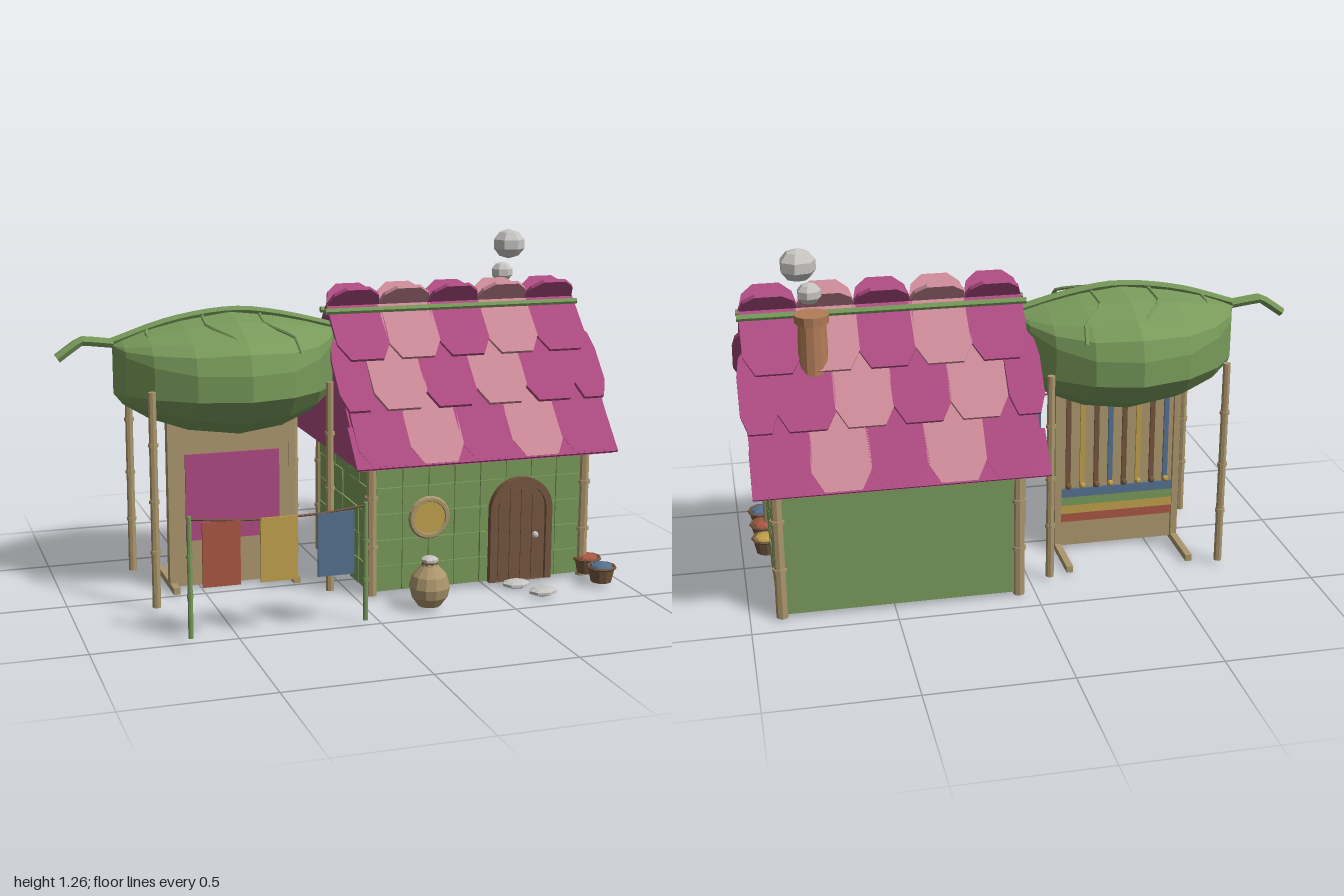
import * as THREE from 'three';

const mat = (name, color, side = THREE.FrontSide) => {
  const m = new THREE.MeshStandardMaterial({ color, side });
  m.name = name;
  return m;
};

export function createModel() {
  const root = new THREE.Group();
  root.name = 'cottageWithLeafCanopy';
  const green = mat('leafGreen', 0x789a5a), tan = mat('bambooTan', 0xab966c);
  const magenta = mat('petalMagenta', 0xac4a80), pink = mat('petalPink', 0xca8996);
  const brown = mat('darkWood', 0x75563f), red = mat('brickRed', 0xa85642);
  const yellow = mat('ochreYellow', 0xc0a04c), blue = mat('slateBlue', 0x557090);
  const grey = mat('stoneGrey', 0xc6c5c2), clay = mat('chimneyClay', 0xb17c58);

  let seed = 7;
  const rnd = () => (seed = (seed * 16807) % 2147483647) / 2147483647;

  // Helpers: flat-shaded mesh, box, upright cylinder, tube, lathe
  const add = (name, geo, m, x = 0, y = 0, z = 0, parent = root) => {
    const g = geo.index ? geo.toNonIndexed() : geo;
    g.computeVertexNormals();
    const mesh = new THREE.Mesh(g, m);
    mesh.name = name;
    mesh.position.set(x, y, z);
    parent.add(mesh);
    return mesh;
  };
  const box = (name, m, x0, x1, y0, y1, z0, z1) => add(name,
    new THREE.BoxGeometry(x1 - x0, y1 - y0, z1 - z0), m, (x0 + x1) / 2, (y0 + y1) / 2, (z0 + z1) / 2);
  const cyl = (name, m, rt, rb, x, y0, y1, z, n = 8) => add(name,
    new THREE.CylinderGeometry(rt, rb, y1 - y0, n), m, x, (y0 + y1) / 2, z);
  const tube = (name, m, pts, r, seg = 16, tension = 0.5) => add(name, new THREE.TubeGeometry(
    new THREE.CatmullRomCurve3(pts.map(p => new THREE.Vector3(...p)), false, 'catmullrom', tension), seg, r, 6), m);
  const lathe = (name, m, pts, x, y, z, n = 12) => add(name,
    new THREE.LatheGeometry(pts.map(p => new THREE.Vector2(...p)), n), m, x, y, z);
  const bamboo = (name, m, r, x, y0, y1, z, nodes) => {
    cyl(name, m, r * 0.92, r, x, y0, y1, z);
    for (const y of nodes) cyl(name + 'Node', m, r * 1.22, r * 1.22, x, y - 0.006, y + 0.006, z);
  };

  // House walls and corner posts
  const ZC = -0.097;
  box('houseWalls', green, 0.06, 0.89, 0.02, 0.5, -0.41, 0.21);
  for (const x of [0.06, 0.89]) for (const z of [0.213, -0.405])
    bamboo('cornerPost', tan, 0.021, x, 0.01, 0.5, z, [0.19, 0.37]);

  // Uneven wall tiles on the front and both gable sides
  const tileWall = (length, cols, place) => {
    const w = length / cols, h = 0.096;
    for (let r = 0; r < 5; r++) for (let c = 0; c < cols; c++) {
      const mesh = add('wallTile', new THREE.BoxGeometry(w - 0.003, h - 0.003, 0.012), green);
      place(mesh, (c + 0.5) * w - length / 2, 0.02 + (r + 0.5) * h, rnd() * 0.005);
      mesh.rotation.z = (rnd() - 0.5) * 0.03;
    }
  };
  tileWall(0.8, 8, (m, u, y, d) => m.position.set(0.475 + u, y, 0.21 + d));
  for (const s of [-1, 1]) tileWall(0.58, 6, (m, u, y, d) => {
    m.position.set(0.475 + s * (0.415 + d), y, ZC + u);
    m.rotation.y = s * Math.PI / 2;
  });

  // Gabled roof core
  const gable = new THREE.Shape([[-0.41, 0.495], [0.41, 0.495], [0, 0.955]].map(p => new THREE.Vector2(...p)));
  const core = add('roofCore', new THREE.ExtrudeGeometry(gable, { depth: 0.97, bevelEnabled: false }), magenta, -0.015, 0, ZC);
  core.rotation.y = Math.PI / 2;

  // Overlapping petal shingles; the top row crosses at the ridge
  const petal = (x, hw, m, s, [z0, y0, z1, y1]) => {
    const L = Math.hypot(z1 - z0, y1 - y0), t = 0.014;
    const half = [[0.62, 0], [1, 0.07], [1.02, L - 0.1], [0.85, L - 0.035], [0.45, L]];
    const pts = [...half, ...half.slice().reverse().map(([u, v]) => [-u, v])];
    const geo = new THREE.ExtrudeGeometry(new THREE.Shape(pts.map(([u, v]) => new THREE.Vector2(u * hw, v))),
      { depth: t, bevelEnabled: false });
    if (s < 0) geo.translate(0, 0, -t);
    add('roofPetal', geo, m, x, y0, ZC + s * z0).rotation.x = s * Math.atan2(z1 - z0, y1 - y0);
  };
  const rows = [[0.17, 0.838, -0.072, 1.083], [0.295, 0.678, 0.09, 0.91], [0.408, 0.5, 0.205, 0.745]];
  for (const s of [-1, 1]) {
    rows.forEach((row, r) => {
      if (r === 1) {
        for (let j = 0; j < 4; j++) petal(0.187 + j * 0.194, 0.1, j % 2 ? magenta : pink, s, row);
        for (const x of [0.02, 0.927]) petal(x, 0.062, magenta, s, row);
      } else for (let i = 0; i < 5; i++) petal(0.09 + i * 0.194, 0.1, i % 2 ? pink : magenta, s, row);
    });
    // Eave board under the lowest petals
    const eave = add('eaveBoard', new THREE.BoxGeometry(1.0, 0.17, 0.01), magenta, 0.47, 0.565, ZC + s * 0.362);
    eave.rotation.x = -s * 0.72;
    const pole = cyl('ridgePole', green, 0.012, 0.012, 0.475, 0.5, 1.5, ZC + s * 0.03, 6);
    pole.position.y = 1.003;
    pole.rotation.z = Math.PI / 2;
  }

  // Chimney and smoke puffs
  cyl('chimney', clay, 0.048, 0.054, 0.73, 0.74, 1.01, -0.228, 12);
  cyl('chimneyCap', clay, 0.06, 0.058, 0.73, 1.005, 1.035, -0.228, 12);
  for (const [x, y, z, r] of [[0.735, 1.105, -0.226, 0.043], [0.77, 1.21, -0.245, 0.064]])
    add('smokePuff', new THREE.SphereGeometry(r, 7, 5), grey, x, y, z).scale.y = 0.88;

  // Arched door with frame, planks and knob
  const arch = (hw, h) => {
    const s = new THREE.Shape();
    s.moveTo(-hw, 0);
    s.lineTo(hw, 0);
    s.lineTo(hw, h - hw);
    s.absarc(0, h - hw, hw, 0, Math.PI, false);
    s.lineTo(-hw, 0);
    return s;
  };
  const frame = arch(0.122, 0.39);
  frame.holes.push(arch(0.098, 0.364));
  add('doorFrame', new THREE.ExtrudeGeometry(frame, { depth: 0.035, bevelEnabled: false, curveSegments: 10 }), brown, 0.63, 0.02, 0.21);
  add('door', new THREE.ExtrudeGeometry(arch(0.1, 0.366), { depth: 0.02, bevelEnabled: false, curveSegments: 10 }), brown, 0.63, 0.02, 0.21);
  for (const [u, h] of [[-0.066, 0.32], [-0.022, 0.345], [0.022, 0.345], [0.066, 0.32]])
    box('doorPlank', brown, 0.63 + u - 0.02, 0.63 + u + 0.02, 0.025, 0.02 + h, 0.229, 0.235);
  add('doorKnob', new THREE.SphereGeometry(0.013, 8, 6), grey, 0.685, 0.19, 0.245);

  // Round window
  add('windowRim', new THREE.TorusGeometry(0.068, 0.012, 6, 18), tan, 0.275, 0.285, 0.225);
  const pane = cyl('windowPane', yellow, 0.068, 0.068, 0.275, 0, 0.012, 0.225, 18);
  pane.position.y = 0.285;
  pane.rotation.x = Math.PI / 2;

  // Jug, stepping stones and baskets
  lathe('jug', tan, [[0, 0], [0.04, 0], [0.065, 0.035], [0.073, 0.07], [0.062, 0.11], [0.03, 0.145], [0.026, 0.16], [0, 0.16]], 0.21, 0.02, 0.405);
  cyl('jugNeck', brown, 0.03, 0.026, 0.21, 0.158, 0.177, 0.405);
  add('jugStopper', new THREE.SphereGeometry(0.033, 7, 5), grey, 0.21, 0.185, 0.405).scale.y = 0.4;
  for (const [x, z] of [[0.655, 0.385], [0.6, 0.275]])
    add('steppingStone', new THREE.SphereGeometry(0.055, 7, 5), grey, x, 0.02, z).scale.set(1, 0.28, 0.8);
  [[0.342, blue], [0.22, red], [0.097, yellow]].forEach(([z, m]) => {
    cyl('basket', brown, 0.05, 0.038, 0.91, 0.02, 0.075, z, 10);
    const rim = add('basketRim', new THREE.TorusGeometry(0.05, 0.006, 5, 10), brown, 0.91, 0.075, z);
    rim.rotation.x = Math.PI / 2;
    add('basketHeap', new THREE.SphereGeometry(0.044, 8, 6), m, 0.91, 0.075, z).scale.y = 0.38;
  });

  // Leaf canopy lofted from cross-sections along x: [x, halfWidth, topY]
  const LZ = -0.075;
  const ribs = [[-0.8, 0.012, 0.92], [-0.77, 0.09, 0.935], [-0.69, 0.19, 0.965], [-0.56, 0.282, 0.995], [-0.38, 0.33, 1.02],
    [-0.22, 0.29, 1.0], [-0.1, 0.2, 0.975], [-0.03, 0.1, 0.955], [0.01, 0.012, 0.945]];
  const section = ([, w, top]) => {
    const k = w / 0.33;
    const half = [[0.4, top - 0.02 * k], [0.75, top - 0.065 * k], [0.93, top - 0.11 * k], [1, top - 0.18 * k],
      [1, 0.75], [0.75, 0.75 - 0.09 * k], [0.38, 0.75 - 0.15 * k]];
    return [[0, top], ...half, [0, 0.75 - 0.16 * k], ...half.slice().reverse().map(([u, y]) => [-u, y])];
  };
  const pos = [], idx = [], N = section(ribs[0]).length;
  ribs.forEach(r => section(r).forEach(([u, y]) => pos.push(r[0], y, LZ + u * r[1])));
  for (let i = 0; i < ribs.length - 1; i++) for (let j = 0; j < N; j++) {
    const a = i * N + j, b = i * N + (j + 1) % N;
    idx.push(a, b, a + N, b, b + N, a + N);
  }
  for (let j = 1; j < N - 1; j++) {
    const e = (ribs.length - 1) * N;
    idx.push(0, j + 1, j, e, e + j, e + j + 1);
  }
  const leaf = new THREE.BufferGeometry();
  leaf.setAttribute('position', new THREE.Float32BufferAttribute(pos, 3));
  leaf.setIndex(idx);
  add('leafCanopy', leaf, green);

  // Leaf midrib, stem and side veins
  tube('leafMidrib', green, [[-0.82, 0.925, LZ], [-0.6, 0.995, LZ], [-0.38, 1.025, LZ], [-0.2, 1.005, LZ], [0.02, 0.95, LZ]], 0.014);
  tube('leafStem', green, [[-0.995, 0.88, LZ], [-0.91, 0.938, LZ], [-0.8, 0.925, LZ]], 0.018, 8, 0.1);
  for (const s of [-1, 1]) for (const [x, w, top] of [[-0.68, 0.18, 0.96], [-0.48, 0.29, 1.0], [-0.27, 0.28, 0.998]])
    tube('leafVein', green, [[x, top + 0.01, LZ], [x - 0.01, top - 0.01, LZ + s * w * 0.42],
      [x + 0.07, top - 0.045, LZ + s * w * 0.78], [x + 0.08, top - 0.1, LZ + s * w * 0.98]], 0.007, 9, 0.1);

  // Canopy posts
  for (const x of [-0.707, -0.073]) for (const z of [-0.317, 0.143])
    bamboo('canopyPost', tan, 0.015, x, 0.02, 0.785, z, [0.22, 0.4, 0.6]);

  // Weaving loom: backing panel, front cloth, coloured warps and woven bands behind
  box('loomPanel', tan, -0.61, -0.15, 0.02, 0.66, -0.085, -0.062);
  box('loomFrontCloth', magenta, -0.555, -0.205, 0.19, 0.51, -0.062, -0.055);
  for (const x of [-0.605, -0.155]) {
    box('loomUpright', tan, x - 0.012, x + 0.012, 0.02, 0.66, -0.1, -0.06);
    box('loomFoot', tan, x - 0.012, x + 0.012, 0.01, 0.034, -0.29, 0.0);
  }
  [red, yellow, green, blue].forEach((m, i) =>
    box('wovenBand', m, -0.593, -0.167, 0.12 + i * 0.033, 0.153 + i * 0.033, -0.096, -0.087));
  for (let i = 0; i < 8; i++) {
    const x = -0.565 + i * 0.053;
    box('warpStrip', [blue, brown, yellow, brown][i % 4], x - 0.009, x + 0.009, 0.252, 0.66, -0.094, -0.086);
    add('warpWeight', new THREE.SphereGeometry(0.012, 6, 5), i % 2 ? brown : yellow, x, 0.265, -0.1);
  }

  // Clothesline with three cloths
  for (const x of [-0.662, -0.055]) bamboo('linePole', green, 0.009, x, 0.02, 0.435, 0.49, [0.165, 0.3]);
  tube('clothesline', brown, [[-0.662, 0.425, 0.49], [-0.5, 0.41, 0.49], [-0.358, 0.406, 0.49], [-0.2, 0.41, 0.49], [-0.055, 0.425, 0.49]], 0.004);
  [[-0.555, red], [-0.358, yellow], [-0.16, blue]].forEach(([x, m]) =>
    box('hangingCloth', m, x - 0.064, x + 0.064, 0.19, 0.41, 0.486, 0.494));

  return root;
}
